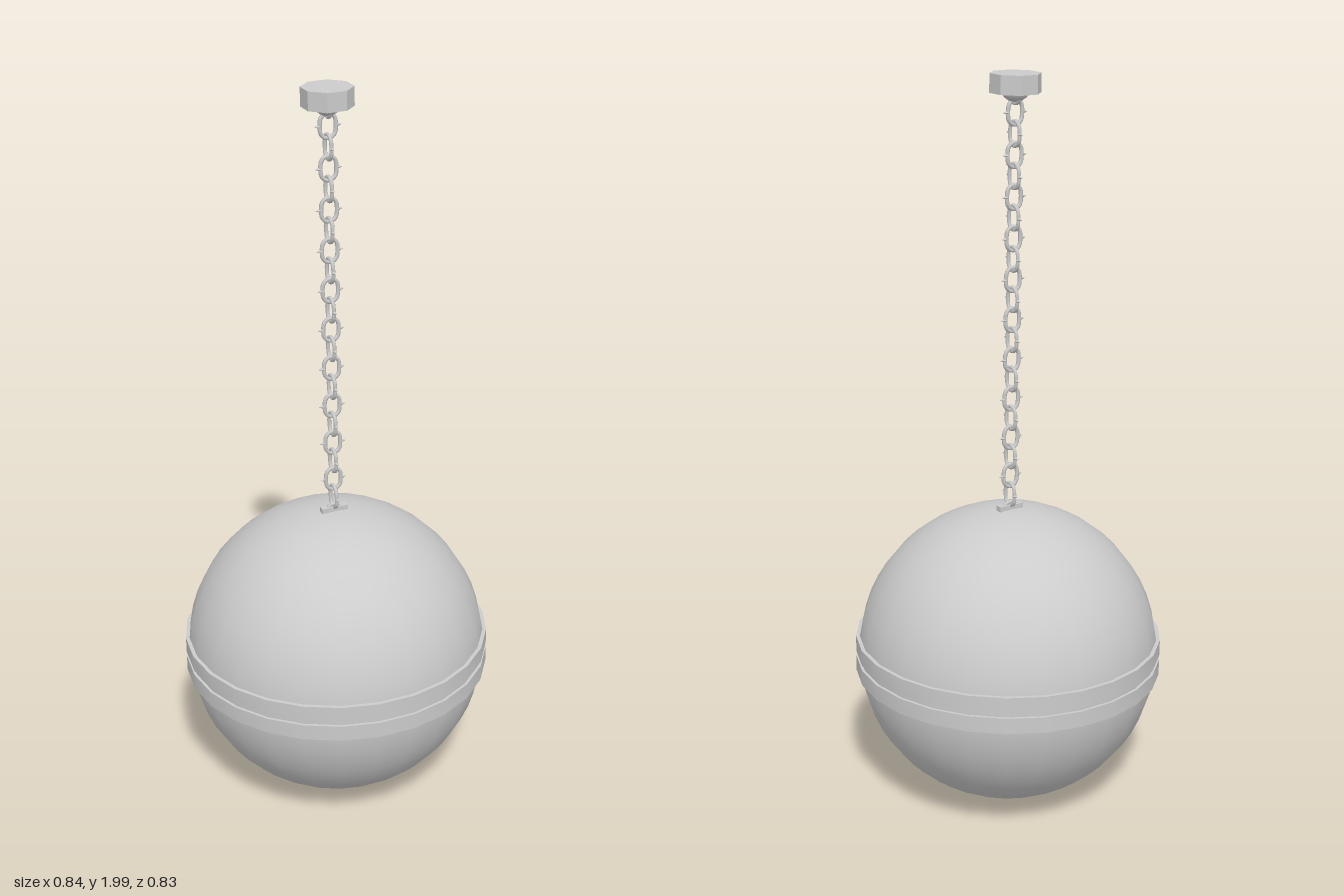
import * as THREE from 'three';
import { toCreasedNormals } from 'three/addons/utils/BufferGeometryUtils.js';

export function createModel() {
  const model = new THREE.Group();
  const smooth = new THREE.MeshStandardMaterial({ color: 0xcccccc });
  const flat = new THREE.MeshStandardMaterial({ color: 0xcccccc, flatShading: true });

  // everything hangs with a slight lean about the ball's centre
  const swing = new THREE.Group();
  swing.name = 'wreckingBall';
  swing.position.y = 0.423;
  swing.rotation.z = 0.0148;
  model.add(swing);

  const add = (parent, name, geometry, material, x = 0, y = 0, z = 0) => {
    const mesh = new THREE.Mesh(geometry, material);
    mesh.name = name;
    mesh.position.set(x, y, z);
    parent.add(mesh);
    return mesh;
  };
  const lathe = (points, sides, start = 0) =>
    new THREE.LatheGeometry(points.map(([r, y]) => new THREE.Vector2(r, y)), sides, start);

  // ball
  const SIDES = 26;
  add(swing, 'ball', new THREE.SphereGeometry(0.413, SIDES, 26), smooth);

  // two raised bands with a narrow groove between them
  const band = toCreasedNormals(lathe([
    [0.395, -0.022], [0.42, -0.022], [0.42, 0.022], [0.395, 0.022],
  ], SIDES, Math.PI / 2), 0.6);
  for (const [name, y] of [['lowerBand', -0.029], ['upperBand', 0.029]]) {
    add(swing, name, band, smooth, 0, y);
  }

  // anchor bar on top of the ball
  add(swing, 'anchorBar', new THREE.BoxGeometry(0.074, 0.02, 0.02), flat, 0, 0.415);

  // chain: oval links with a small spike on each side, alternately turned
  const WIRE = 0.0055, HALF_W = 0.021, STRAIGHT = 0.0105;
  const path = [];
  for (let i = 0; i < 16; i++) {
    const a = (i + 0.5) / 16 * Math.PI * 2;
    path.push(new THREE.Vector3(
      HALF_W * Math.cos(a),
      HALF_W * Math.sin(a) + Math.sign(Math.sin(a)) * STRAIGHT, 0));
  }
  const linkGeometry = new THREE.TubeGeometry(
    new THREE.CatmullRomCurve3(path, true), 24, WIRE, 6, true);
  const spikeGeometry = new THREE.ConeGeometry(0.006, 0.016, 6);
  const chain = new THREE.Group();
  chain.name = 'chain';
  swing.add(chain);
  for (let i = 0; i < 22; i++) {
    const link = new THREE.Group();
    link.name = 'chainLink';
    link.position.y = 0.4 + i * 0.0539;
    link.rotation.y = i % 2 ? Math.PI / 2 : 0;
    add(link, 'ring', linkGeometry, smooth);
    for (const side of [-1, 1]) {
      const spike = add(link, 'spike', spikeGeometry, flat, side * 0.03);
      spike.rotation.z = -side * Math.PI / 2;
    }
    chain.add(link);
  }

  // octagonal ceiling mount with a recessed underside
  add(swing, 'ceilingMount', lathe([
    [0, 1.54], [0.044, 1.54], [0.05, 1.527], [0.067, 1.527], [0.067, 1.576], [0, 1.576],
  ], 8, Math.PI / 8), flat);

  // rounded socket holding the top link
  add(swing, 'mountSocket', lathe([
    [0, 1.503], [0.016, 1.506], [0.029, 1.515], [0.036, 1.528], [0.038, 1.545],
  ], 12), smooth);

  return model;
}
